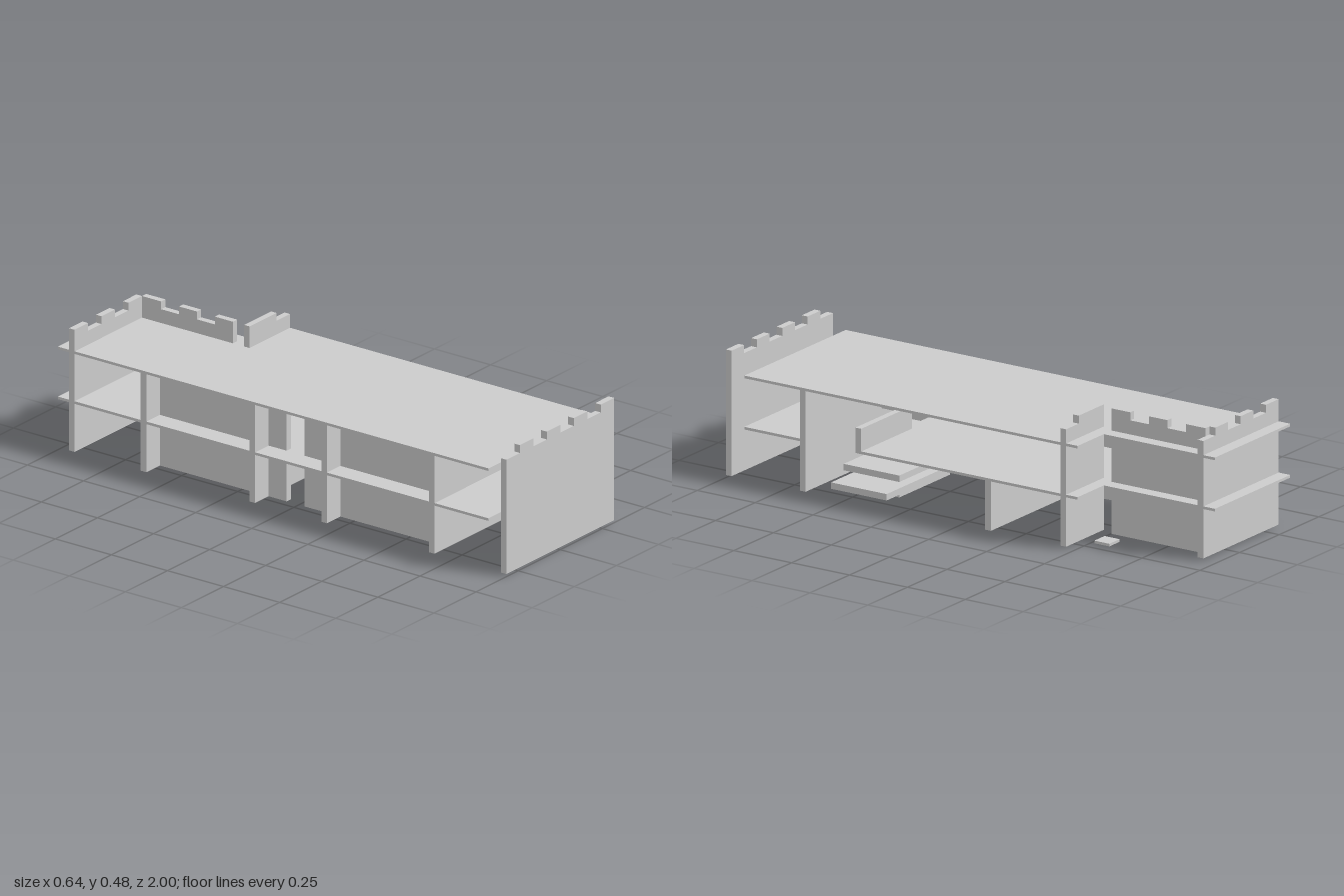
import * as THREE from 'three';

export function createModel() {
  const model = new THREE.Group();
  model.name = 'castlePlayset';
  const board = new THREE.MeshStandardMaterial({ color: 0xcccccc });
  board.name = 'plainGrey';

  // Box given by its limits on each axis
  function block(name, [x0, x1], [y0, y1], [z0, z1]) {
    const mesh = new THREE.Mesh(new THREE.BoxGeometry(x1 - x0, y1 - y0, z1 - z0), board);
    mesh.position.set((x0 + x1) / 2, (y0 + y1) / 2, (z0 + z1) / 2);
    mesh.name = name;
    model.add(mesh);
    return mesh;
  }

  // Horizontal slab from an outline of [x, z] points, with optional extra vertices cut in
  function slab(name, outline, y) {
    const shape = new THREE.Shape(outline.map(([x, z]) => new THREE.Vector2(x, -z)));
    const geo = new THREE.ExtrudeGeometry(shape, { depth: 0.01, bevelEnabled: false });
    geo.rotateX(-Math.PI / 2);
    const mesh = new THREE.Mesh(geo, board);
    mesh.position.y = y;
    mesh.name = name;
    model.add(mesh);
  }

  // Upright wall with battlements: steps lists [end, top height] along its length
  const LOW = 0.45, HIGH = 0.48, T = 0.025;
  function battlement(name, start, steps) {
    const shape = new THREE.Shape();
    shape.moveTo(start, 0.01);
    let at = start;
    for (const [end, top] of steps) {
      shape.lineTo(at, top);
      shape.lineTo(end, top);
      at = end;
    }
    shape.lineTo(at, 0.01);
    shape.closePath();
    const geo = new THREE.ExtrudeGeometry(shape, { depth: T, bevelEnabled: false });
    const mesh = new THREE.Mesh(geo, board);
    mesh.name = name;
    model.add(mesh);
    return mesh;
  }

  // Front wall: low and high teeth alternate
  const teeth = [];
  for (let i = 0; i < 8; i++) teeth.push([-0.24 + i * 0.08, i % 2 ? HIGH : LOW]);
  battlement('frontWall', -0.32, teeth).position.z = 0.975;

  // Rear wall
  battlement('rearWall', -0.32, [
    [-0.24, HIGH], [-0.16, LOW], [-0.08, HIGH], [0, LOW], [0.08, HIGH], [0.155, LOW],
  ]).position.z = -0.95;

  // Courtyard side wall, turned to run from front to back
  const side = battlement('courtyardSideWall', 0.52, [
    [0.6, HIGH], [0.68, LOW], [0.76, HIGH], [0.84, LOW], [0.925, HIGH],
  ]);
  side.rotation.y = Math.PI / 2;
  side.position.x = 0.08;

  // Courtyard front wall
  battlement('courtyardFrontWall', 0.08, [[0.24, HIGH], [0.32, LOW]]).position.z = -0.47;

  // Roof and middle floor; the middle floor has an open stairwell
  const back = [[0.32, -0.52], [0.155, -0.52], [0.155, -1], [-0.32, -1], [-0.32, 0.92]];
  slab('roof', [[0.32, 0.92], ...back], 0.387);
  slab('middleFloor', [
    [0.32, 0.92], [0.32, 0.66], [-0.16, 0.66], [-0.16, 0.44], [0.32, 0.44], ...back,
  ], 0.195);

  // Cross walls
  const full = [0.01, 0.39];
  block('frontCrossWall', [-0.32, 0.32], full, [0.655, 0.68]);
  block('stairCrossWall', [-0.32, -0.15], full, [0.175, 0.2]);
  block('lowerMiddleCrossWall', [-0.32, 0.32], [0.01, 0.2], [-0.145, -0.12]);
  block('upperMiddleCrossWall', [-0.32, -0.15], [0.2, 0.39], [-0.145, -0.12]);
  block('rearCrossWall', [-0.32, -0.15], full, [-0.63, -0.605]);

  // Door lintels
  block('lowerStairLintel', [-0.15, -0.07], [0.14, 0.2], [0.175, 0.2]);
  block('upperStairLintel', [-0.15, -0.07], [0.335, 0.39], [0.175, 0.2]);
  block('upperMiddleLintel', [-0.15, -0.07], [0.335, 0.39], [-0.145, -0.12]);

  // Long inner wall in sections with door gaps
  for (const z of [[0.2, 0.6], [0.04, 0.12], [-0.12, -0.04], [-0.605, -0.2]]) {
    block('longWallSection', [-0.24, -0.215], full, z);
  }

  // Stairs and railing
  block('stairBase', [-0.16, 0.16], [0, 0.01], [0.36, 0.6]);
  for (let i = 0; i < 4; i++) {
    block('stairTread', [-0.16, 0.24 - i * 0.08], [0.01 + i * 0.048, 0.034 + i * 0.048], [0.36, 0.6]);
  }
  block('stairRailing', [0, 0.32], [0.2, 0.29], [0.415, 0.44]);

  // Courtyard doorstep
  block('doorstep', [0.165, 0.23], [0.01, 0.02], [-0.595, -0.53]);

  return model;
}
